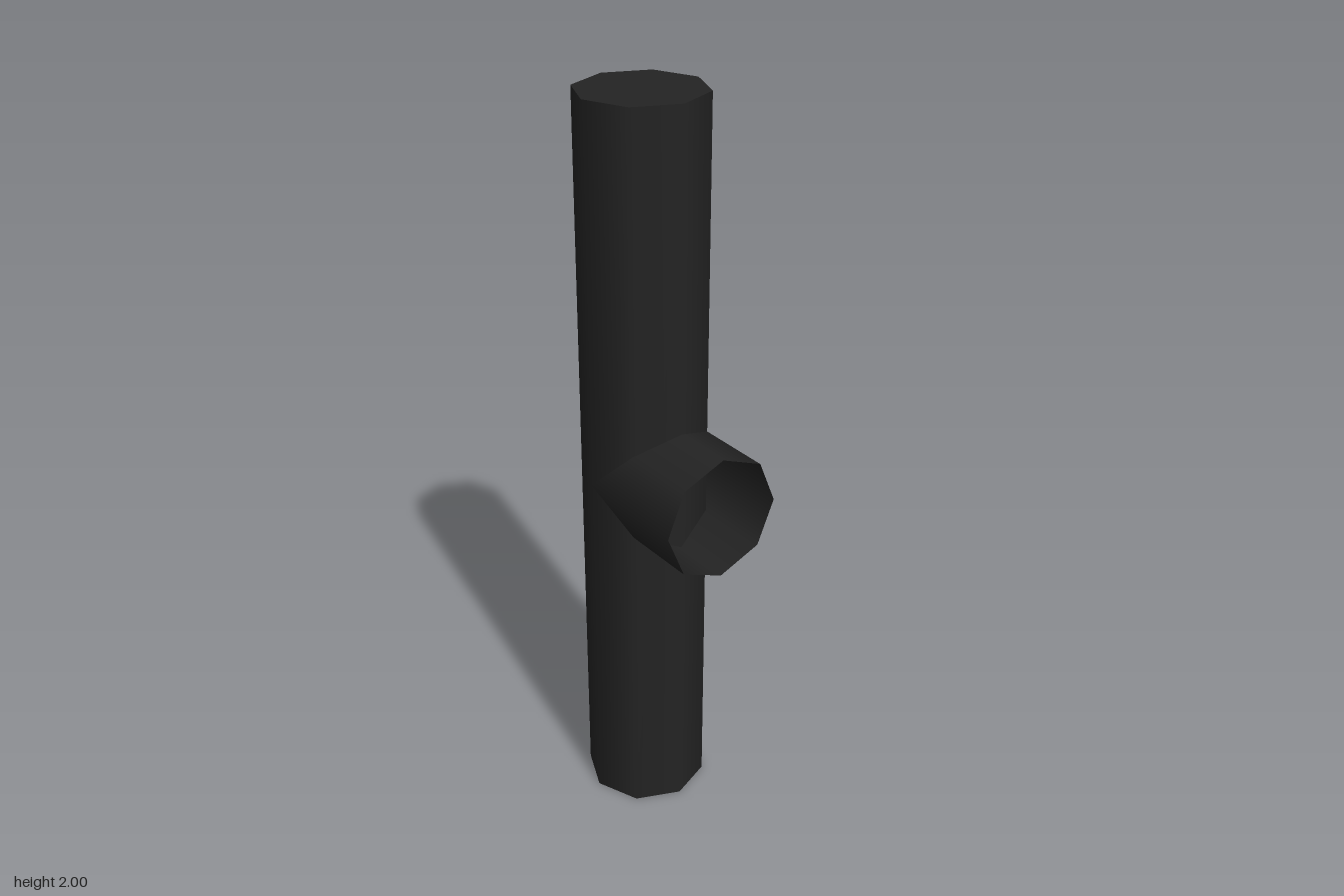
import * as THREE from 'three';

export function createModel() {
  const model = new THREE.Group();
  const radius = 1 / 6;
  const poleX = -1 / 12;
  const endX = 0.25;

  const black = new THREE.MeshStandardMaterial({ color: 0x242424, side: THREE.DoubleSide });
  black.name = 'charcoal';

  // Upright eight-sided pole, closed at both ends
  const pole = new THREE.Mesh(new THREE.CylinderGeometry(radius, radius, 2, 8), black);
  pole.name = 'mainPipe';
  pole.position.set(poleX, 1, 0);
  model.add(pole);

  // Short side branch from the pole's axis, open at its outer end
  const length = endX - poleX;
  const branch = new THREE.Mesh(
    new THREE.CylinderGeometry(radius, radius, length, 8, 1, true).rotateZ(-Math.PI / 2),
    black
  );
  branch.name = 'sideBranch';
  branch.position.set(poleX + length / 2, 1, 0);
  model.add(branch);

  return model;
}
